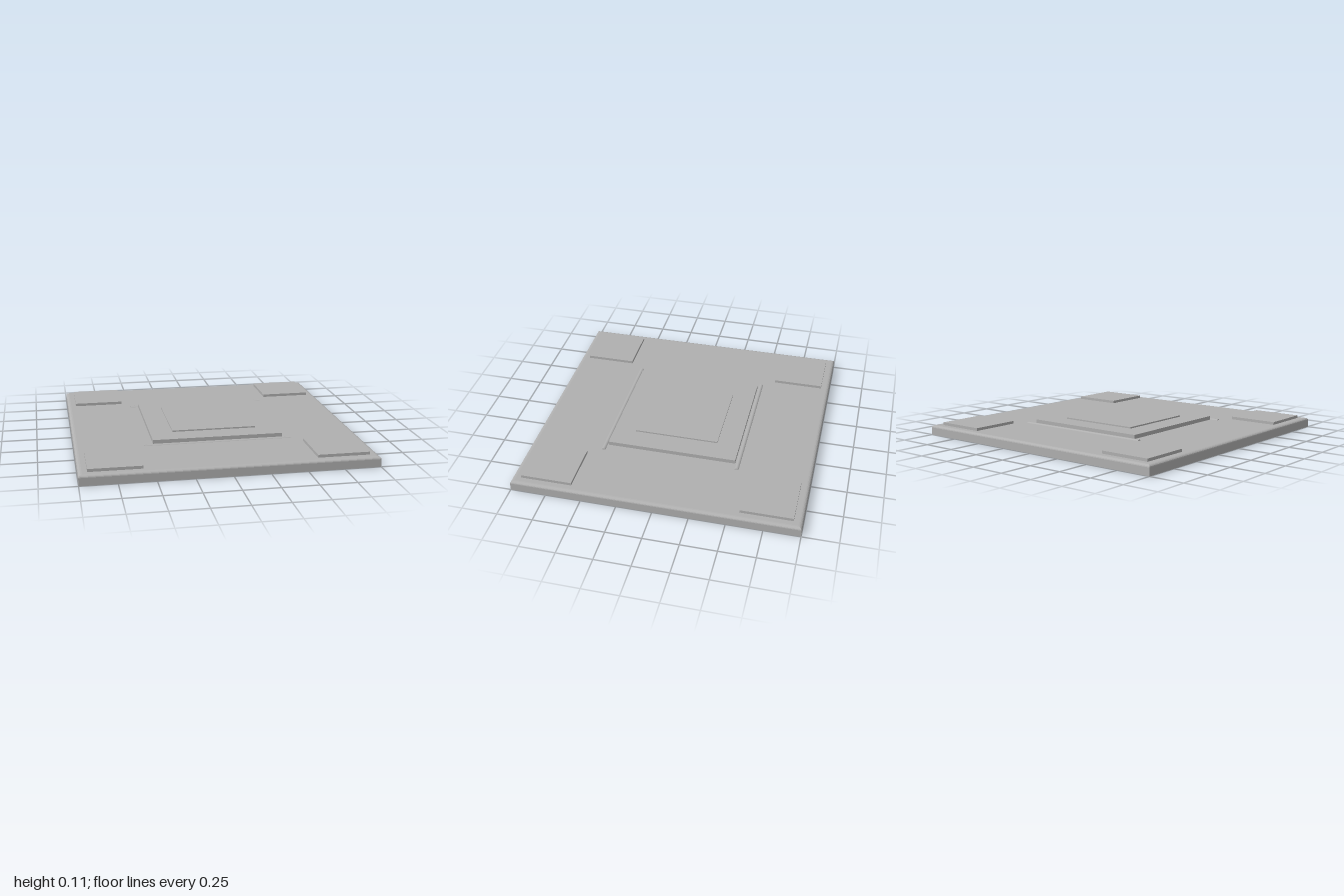
import * as THREE from 'three';

export function createModel() {
  const model = new THREE.Group();
  const grey = new THREE.MeshStandardMaterial({ color: 0xb0b0b0 });
  grey.name = 'plain grey';

  function add(name, geometry, x, y, z) {
    const mesh = new THREE.Mesh(geometry, grey);
    mesh.name = name;
    mesh.position.set(x, y, z);
    model.add(mesh);
    return mesh;
  }

  // Square slab with its base slightly sunk into the part below
  function slab(name, size, bottom, top, x = 0, z = 0) {
    add(name, new THREE.BoxGeometry(size, top - bottom, size), x, (top + bottom) / 2, z);
  }

  // Base plate: four-sided lathe with a rounded top edge and sharp, mitred corners
  const height = 0.07, roundX = 0.025, roundY = 0.016;
  const profile = [[0, 0], [1, 0]];
  for (let i = 0; i <= 4; i++) {
    const a = (i / 4) * Math.PI / 2;
    profile.push([1 - roundX + roundX * Math.cos(a), height - roundY + roundY * Math.sin(a)]);
  }
  profile.push([0, height]);
  const points = profile.map(([r, y]) => new THREE.Vector2(r * Math.SQRT2, y));
  const plate = new THREE.LatheGeometry(points, 4, Math.PI / 4).toNonIndexed();
  plate.computeVertexNormals();
  add('basePlate', plate, 0, 0, 0);

  // Stepped centre platform
  slab('lowerPlatform', 0.92, 0.06, 0.098);
  slab('upperPlatform', 0.6, 0.09, 0.108);

  // Corner pads
  for (const x of [-0.76, 0.76]) {
    for (const z of [-0.76, 0.76]) slab('cornerPad', 0.36, 0.06, 0.09, x, z);
  }

  // Half-sunk round rails in front of and behind the platform
  for (const z of [-0.482, 0.482]) {
    const rail = add('rail', new THREE.CylinderGeometry(0.018, 0.018, 1.04, 16), 0, 0.06, z);
    rail.rotation.z = Math.PI / 2;
  }

  return model;
}
